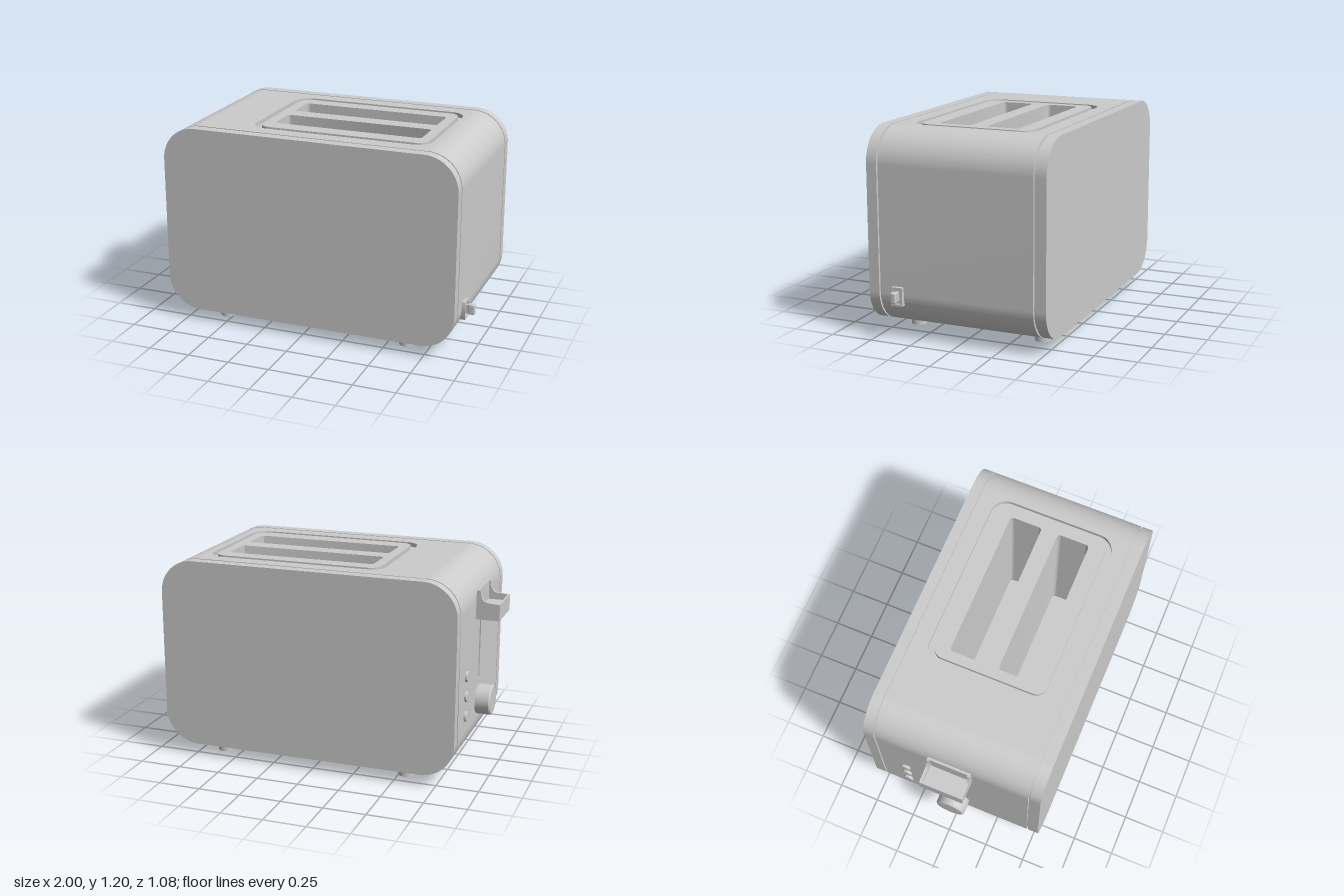
import * as THREE from 'three';
import { toCreasedNormals } from 'three/addons/utils/BufferGeometryUtils.js';
import { RoundedBoxGeometry } from 'three/addons/geometries/RoundedBoxGeometry.js';

const material = new THREE.MeshStandardMaterial({ color: 0xcccccc });
const X0 = -0.86, X1 = 0.93, Y0 = 0.07, Y1 = 1.2, R = 0.2, T = 0.03;

// Rounded rectangle, usable as a Shape or as a hole
function roundRect(x0, y0, x1, y1, r, Type = THREE.Shape) {
  const s = new Type();
  s.moveTo(x0 + r, y0).lineTo(x1 - r, y0);
  s.absarc(x1 - r, y0 + r, r, -Math.PI / 2, 0, false);
  s.lineTo(x1, y1 - r);
  s.absarc(x1 - r, y1 - r, r, 0, Math.PI / 2, false);
  s.lineTo(x0 + r, y1);
  s.absarc(x0 + r, y1 - r, r, Math.PI / 2, Math.PI, false);
  s.lineTo(x0, y0 + r);
  s.absarc(x0 + r, y0 + r, r, Math.PI, Math.PI * 1.5, false);
  return s;
}

function extrude(shape, z0, z1) {
  const g = new THREE.ExtrudeGeometry(shape, { depth: z1 - z0, bevelEnabled: false, curveSegments: 20 });
  return toCreasedNormals(g.translate(0, 0, z0), 0.5);
}

// Extrusion standing upright: shape y becomes -z, depth becomes y
const extrudeUp = (shape, y0, y1) => extrude(shape, y0, y1).rotateX(-Math.PI / 2);

export function createModel() {
  const root = new THREE.Group();
  const add = (name, geometry, x = 0, y = 0, z = 0) => {
    const m = new THREE.Mesh(geometry, material);
    m.name = name;
    m.position.set(x, y, z);
    root.add(m);
    return m;
  };
  const box = (name, x0, x1, y0, y1, z0, z1) =>
    add(name, new THREE.BoxGeometry(x1 - x0, y1 - y0, z1 - z0), (x0 + x1) / 2, (y0 + y1) / 2, (z0 + z1) / 2);

  // Wrapped shell: right corner, bottom and lower left corner
  const wrap = new THREE.Shape();
  wrap.moveTo(X1 - R, Y1);
  wrap.absarc(X1 - R, Y1 - R, R, Math.PI / 2, 0, true);
  wrap.absarc(X1 - R, Y0 + R, R, 0, -Math.PI / 2, true);
  wrap.absarc(X0 + R, Y0 + R, R, -Math.PI / 2, -Math.PI, true);
  wrap.absarc(X0 + R, Y0 + R, R - T, -Math.PI, -Math.PI / 2, false);
  wrap.absarc(X1 - R, Y0 + R, R - T, -Math.PI / 2, 0, false);
  wrap.absarc(X1 - R, Y1 - R, R - T, 0, Math.PI / 2, false);
  add('shell', extrude(wrap, -0.465, 0.465));

  // Upper corner over the controls
  const corner = new THREE.Shape();
  corner.absarc(X0 + R, Y1 - R, R, Math.PI / 2, Math.PI, false);
  corner.absarc(X0 + R, Y1 - R, R - T, Math.PI, Math.PI / 2, true);
  add('shellCorner', extrude(corner, -0.465, 0.465));

  // Control panel with the lever track cut out
  const panel = roundRect(-0.465, Y0 + R, 0.465, Y1 - R, 0.0001);
  panel.holes.push(roundRect(-0.02, 0.5, 0.01, 0.98, 0.014, THREE.Path));
  add('controlPanel', extrude(panel, 0, T).rotateY(-Math.PI / 2), X0 + T);
  box('trackBacking', X0 + T, X0 + T + 0.02, 0.3, 0.99, -0.1, 0.1);

  // End panels and the inset seams next to them
  for (const s of [-1, 1]) {
    const face = roundRect(X0, Y0, X1, Y1, R);
    const seam = roundRect(X0 + 0.015, Y0 + 0.015, X1 - 0.015, Y1 - 0.015, R - 0.015);
    add('endPanel', extrude(face, -0.0315, 0.0315), 0, 0, s * 0.5075);
    add('seam', extrude(seam, -0.02, 0.02), 0, 0, s * 0.465);
  }

  // Top with a groove around the slotted insert
  const top = roundRect(X0 + R, -0.465, X1 - R, 0.465, 0.0001);
  top.holes.push(roundRect(-0.38, -0.375, 0.71, 0.375, 0.1, THREE.Path));
  add('top', extrudeUp(top, Y1 - T, Y1));
  const groove = roundRect(-0.4, -0.39, 0.72, 0.39, 0.1);
  groove.holes.push(roundRect(-0.33, -0.33, 0.67, 0.33, 0.06, THREE.Path));
  add('grooveFloor', extrudeUp(groove, Y1 - 0.04, Y1 - 0.025));

  // Insert with the two bread slots
  const insert = roundRect(-0.34, -0.34, 0.68, 0.34, 0.065);
  for (const [a, b] of [[0.055, 0.25], [-0.24, -0.045]])
    insert.holes.push(roundRect(-0.28, a, 0.62, b, 0.02, THREE.Path));
  add('slotInsert', extrudeUp(insert, 0.3, Y1));
  box('slotFloor', -0.34, 0.68, 0.27, 0.3, -0.34, 0.34);

  // Feet
  for (const x of [-0.54, 0.61])
    for (const z of [-0.393, 0.393])
      add('foot', new THREE.CylinderGeometry(0.047, 0.047, 0.08, 32), x, 0.04, z);

  // Knob and buttons, turned to face -x
  const dial = (name, r, h, bevel, y, z) => {
    const p = [[0, 0], [r, 0], [r, h - bevel], [r - bevel, h], [0, h]].map(([a, b]) => new THREE.Vector2(a, b));
    const g = toCreasedNormals(new THREE.LatheGeometry(p, 40), 0.5);
    add(name, g, X0 + 0.005, y, z).rotation.z = Math.PI / 2;
  };
  dial('knob', 0.09, 0.095, 0.008, 0.375, 0);
  for (const y of [0.37, 0.49, 0.61]) dial('button', 0.031, 0.02, 0.004, y, -0.31);

  // Lever: curved cheeks, tray floor, lip and back plate
  const cheek = new THREE.Shape();
  cheek.moveTo(-1, 0.9).lineTo(-0.863, 0.9).lineTo(-0.863, 1.07).lineTo(-0.885, 1.07);
  cheek.quadraticCurveTo(-0.89, 1.0, -0.935, 1.0);
  cheek.lineTo(-1, 0.995);
  for (const z of [-0.135, 0.11]) add('leverCheek', extrude(cheek, z, z + 0.015));
  box('leverTray', -0.99, -0.863, 0.9, 0.96, -0.12, 0.11);
  box('leverLip', -1, -0.988, 0.9, 0.995, -0.12, 0.11);
  box('leverBack', -0.877, -0.863, 0.9, 1.07, -0.12, 0.11);
  box('leverStem', -0.87, -0.82, 0.92, 0.97, -0.015, 0.005);

  // Power inlet: frame and cord plug
  const frame = roundRect(-0.39, 0.203, -0.32, 0.312, 0.002);
  frame.holes.push(roundRect(-0.38, 0.215, -0.33, 0.3, 0.002, THREE.Path));
  add('inletFrame', extrude(frame, 0.88, 0.952).rotateY(Math.PI / 2));
  box('inletBase', 0.88, 0.938, 0.21, 0.305, 0.325, 0.385);
  add('plugNeck', new THREE.BoxGeometry(0.04, 0.05, 0.02), 0.955, 0.262, 0.355);
  add('plug', new RoundedBoxGeometry(0.038, 0.062, 0.034, 3, 0.008), 0.981, 0.262, 0.355);
  return root;
}
